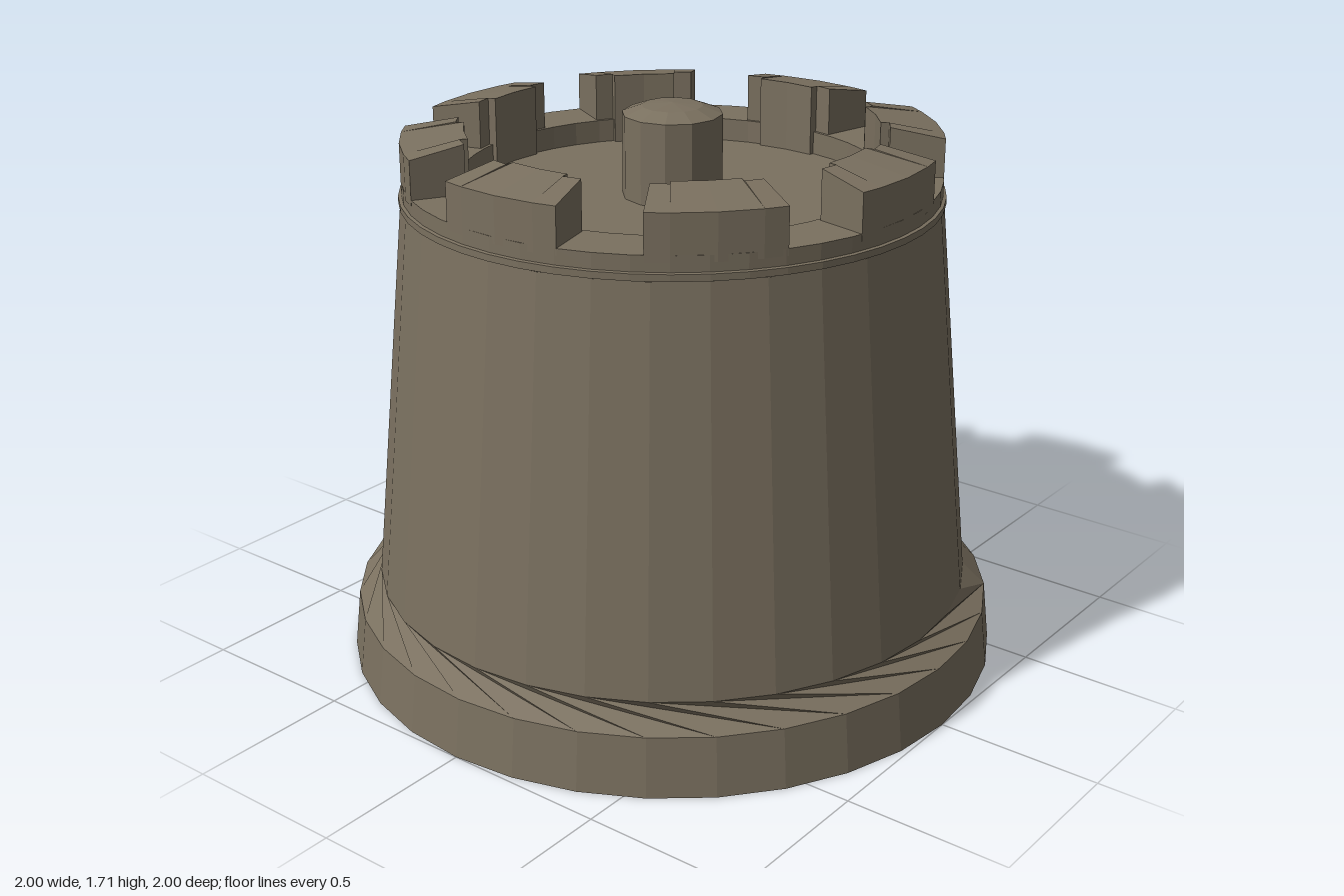
import * as THREE from 'three';

const SIDES = 32;
const DEG = Math.PI / 180;
const stone = new THREE.MeshStandardMaterial({ color: 0x7a705f, flatShading: true, side: THREE.DoubleSide });

// point on a ring: angle runs from +z towards +x
const ring = (r, y, a) => [r * Math.sin(a), y, r * Math.cos(a)];

function add(group, name, geometry) {
  const mesh = new THREE.Mesh(geometry, stone);
  mesh.name = name;
  group.add(mesh);
  return mesh;
}

function lathe(points, sides) {
  return new THREE.LatheGeometry(points.map(([r, y]) => new THREE.Vector2(r, y)), sides);
}

function fromTriangles(positions) {
  const g = new THREE.BufferGeometry();
  g.setAttribute('position', new THREE.Float32BufferAttribute(positions, 3));
  g.computeVertexNormals();
  return g;
}

// sloping ledge: plain on one side, twisted into long chiselled facets elsewhere
function ledgeGeometry() {
  const pos = [];
  const low = i => ring(0.98, 0.18, (i * 2 * Math.PI) / SIDES);
  const high = i => ring(0.91, 0.25, (i * 2 * Math.PI) / SIDES);
  const topIndex = i => {
    if (i <= 2) return i - 2;
    if (i <= 9) return i;
    return i - Math.min(2, i - 9);
  };
  for (let i = 0; i < SIDES; i++) {
    pos.push(...low(i), ...low(i + 1), ...high(topIndex(i)));
    for (let k = topIndex(i); k < topIndex(i + 1); k++) {
      pos.push(...high(k), ...low(i + 1), ...high(k + 1));
    }
  }
  return fromTriangles(pos);
}

// curved block with a thicker middle on its inner face and a top sloping outward
function merlonGeometry() {
  const stations = [[-14, 0.63], [-9, 0.63], [-9, 0.605], [0, 0.605], [9, 0.605], [9, 0.63], [14, 0.63]];
  const sections = stations.map(([d, inner]) => {
    const a = d * DEG;
    return [ring(0.79, 1.48, a), ring(0.79, 1.615, a), ring(inner, 1.645, a), ring(inner, 1.43, a)];
  });
  const pos = [];
  const quad = (a, b, c, d) => pos.push(...a, ...b, ...c, ...a, ...c, ...d);
  for (let i = 0; i < sections.length - 1; i++) {
    const s = sections[i], t = sections[i + 1];
    for (let k = 0; k < 4; k++) {
      const n = (k + 1) % 4;
      quad(s[k], t[k], t[n], s[n]);
    }
  }
  const [first, last] = [sections[0], sections[sections.length - 1]];
  quad(first[0], first[1], first[2], first[3]);
  quad(last[3], last[2], last[1], last[0]);
  return fromTriangles(pos);
}

export function createModel() {
  const tower = new THREE.Group();
  tower.name = 'roundTower';

  // hollow tapered shell, open underneath
  add(tower, 'baseSkirt', lathe([[1, 0], [0.98, 0.18]], SIDES));
  add(tower, 'baseLedge', ledgeGeometry());
  add(tower, 'towerWall', lathe([[0.91, 0.25], [0.795, 1.43]], SIDES));

  // thin lip, low parapet and sunken roof floor
  add(tower, 'parapet', lathe([
    [0.785, 1.43], [0.8, 1.432], [0.8, 1.452], [0.79, 1.454],
    [0.79, 1.5], [0.62, 1.5], [0.62, 1.43], [0, 1.43],
  ], 48));

  // battlements
  const battlements = new THREE.Group();
  battlements.name = 'battlements';
  const merlon = merlonGeometry();
  for (let i = 0; i < 8; i++) {
    add(battlements, 'merlon', merlon).rotation.y = (1.5 + i * 45) * DEG;
  }
  tower.add(battlements);

  // central post with a shallow domed top
  add(tower, 'centrePost', lathe([[0.148, 1.43], [0.148, 1.675], [0.09, 1.697], [0, 1.705]], 12));

  return tower;
}
